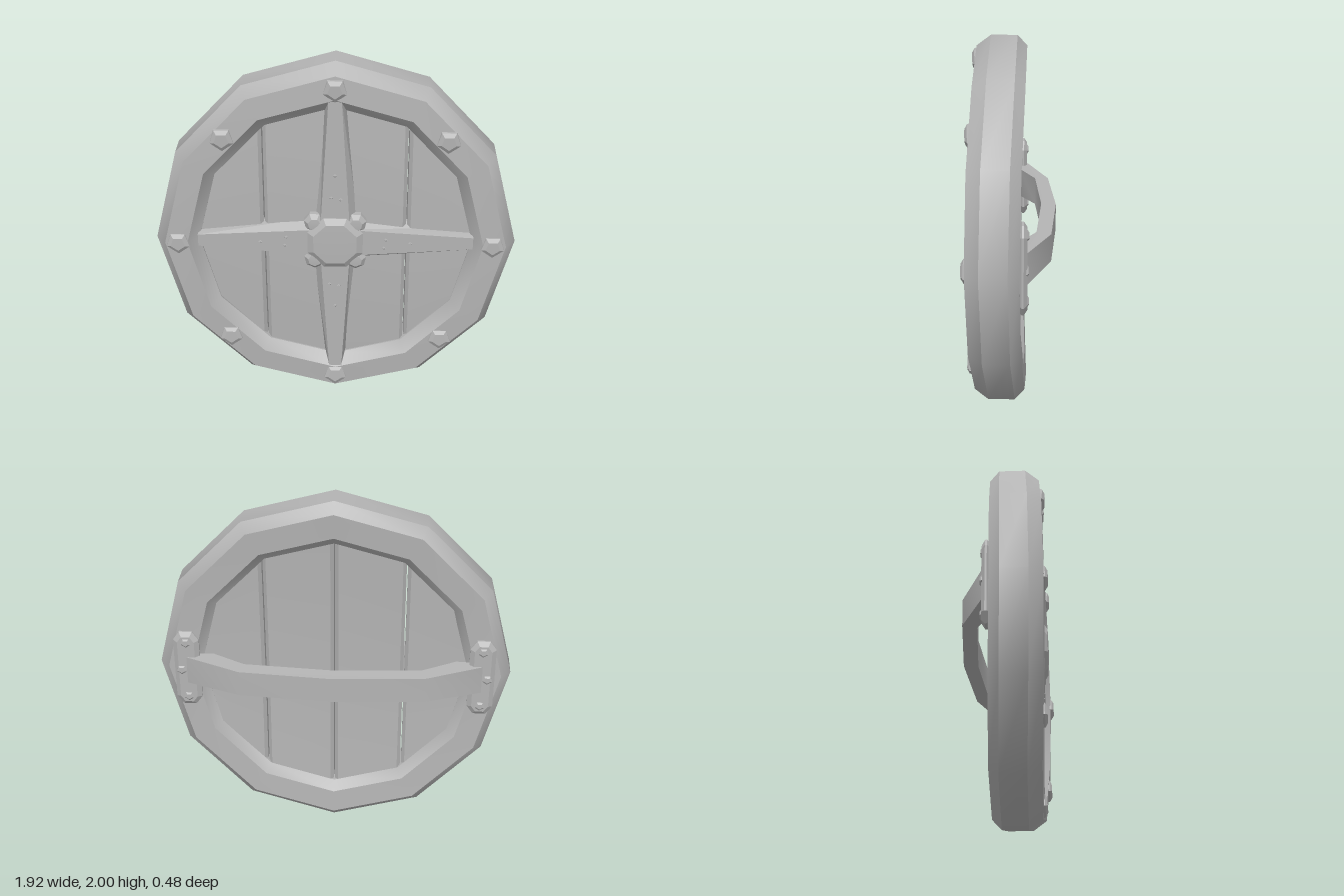
import * as THREE from 'three';
import { toCreasedNormals } from 'three/addons/utils/BufferGeometryUtils.js';

const SX = 0.96; // the shield is slightly narrower than tall
const iron = new THREE.MeshStandardMaterial({ color: 0xb4b4b4 });
iron.name = 'plain grey';

// the whole shield is bowed: z falls away towards top and bottom
const bow = (y) => -0.04 * y * y;

// moves every vertex by a rule, then recomputes normals with sharp edges
function reshape(geo, rule, crease = 0.6) {
  const p = geo.attributes.position;
  const v = new THREE.Vector3();
  for (let i = 0; i < p.count; i++) {
    v.fromBufferAttribute(p, i);
    rule(v);
    p.setXYZ(i, v.x, v.y, v.z);
  }
  return toCreasedNormals(geo, crease);
}

function add(parent, name, geo, x = 0, y = 0, z = 0) {
  const mesh = new THREE.Mesh(geo, iron);
  mesh.name = name;
  mesh.position.set(x, y, z);
  parent.add(mesh);
  return mesh;
}

const shapeOf = (pts) => new THREE.Shape(pts.map(([x, y]) => new THREE.Vector2(x, y)));

// faceted disc turned around +z from a [radius, height] profile
function discGeometry(profile, sides) {
  const pts = profile.map(([a, b]) => new THREE.Vector2(a, b));
  const geo = new THREE.LatheGeometry(pts, sides).rotateX(Math.PI / 2);
  return toCreasedNormals(geo, 0.3);
}
const studGeometry = (r, h, sides) => discGeometry([[r, 0], [r * 0.95, h * 0.45], [r * 0.6, h], [0, h]], sides);

// twelve-sided rim
function rimGeometry() {
  const profile = [
    [1, 0.01], [1, 0.15], [0.945, 0.22], [0.82, 0.22], [0.76, 0.16],
    [0.76, 0.0], [0.81, -0.045], [0.945, -0.045], [1, 0.01],
  ].map(([r, z]) => new THREE.Vector2(r, z));
  const geo = new THREE.LatheGeometry(profile, 12).rotateX(Math.PI / 2);
  return reshape(geo, (v) => { v.x *= SX; v.z += bow(v.y); });
}

// vertical plank with chamfered long edges, ends hidden inside the rim
function plankGeometry(x0, x1) {
  const c = 0.018, back = 0.0, front = 0.152;
  const section = shapeOf([
    [x0 + c, back], [x1 - c, back], [x1, back + c], [x1, front - c],
    [x1 - c, front], [x0 + c, front], [x0, front - c], [x0, back + c],
  ]);
  const geo = new THREE.ExtrudeGeometry(section, { depth: 1, steps: 6, bevelEnabled: false });
  return reshape(geo, (v) => {
    const half = 0.79 * Math.sqrt(Math.max(0, 1 - (v.x / 0.8) ** 2));
    const y = (1 - 2 * v.z) * half;
    v.set(v.x, y, v.y + bow(y));
  }, 0.3);
}

// tapering brace arm running along +y from the centre
function armGeometry(length) {
  const section = shapeOf([[-1, 0.1], [1, 0.1], [1, 0.125], [0.62, 0.2], [-0.62, 0.2], [-1, 0.125]]);
  const geo = new THREE.ExtrudeGeometry(section, { depth: 1, bevelEnabled: false });
  return reshape(geo, (v) => {
    const t = 1 - v.z;
    const w = THREE.MathUtils.lerp(0.135, 0.055, t);
    v.set(v.x * w, t * length, v.y - 0.01 * t);
  }, 0.3);
}

export function createModel() {
  const root = new THREE.Group();
  root.name = 'roundShield';
  const shield = new THREE.Group();
  shield.name = 'shieldBody';
  shield.position.y = 1;
  root.add(shield);

  add(shield, 'rim', rimGeometry());

  // four planks
  [[-0.75, -0.383], [-0.377, -0.003], [0.003, 0.377], [0.383, 0.75]].forEach(([a, b]) =>
    add(shield, 'plank', plankGeometry(a, b)));

  // cross brace
  for (let i = 0; i < 4; i++) {
    const arm = add(shield, 'braceArm', armGeometry(i % 2 ? 0.735 : 0.81));
    arm.rotation.z = (i * Math.PI) / 2;
    // small nicks along the arm
    for (const [x, y] of [[0.0, 0.4], [-0.02, 0.27], [0.03, 0.26]]) {
      add(arm, 'armNick', studGeometry(0.01, 0.006, 4), x, y, 0.195);
    }
  }

  // central boss with a low lump at each corner
  const boss = add(shield, 'boss', discGeometry([[0.16, 0.1], [0.16, 0.2], [0.125, 0.222], [0, 0.226]], 8));
  boss.rotation.z = Math.PI / 8;
  for (const sx of [-1, 1]) for (const sy of [-1, 1]) {
    add(shield, 'bossLump', discGeometry([[0.058, 0.1], [0.058, 0.18], [0.035, 0.204], [0, 0.207]], 7), sx * 0.11, sy * 0.11);
  }

  // eight low studs around the rim
  for (let i = 0; i < 8; i++) {
    const a = (i * Math.PI) / 4;
    const r = i % 2 ? 0.853 : 0.872;
    const y = r * Math.cos(a);
    const stud = add(shield, 'rimStud', studGeometry(0.067, 0.024, 5), r * SX * Math.sin(a), y, 0.214 + bow(y));
    stud.rotation.x = 0.07 * y;
  }

  // bowed arm strap at the back, a little taller at its ends
  const strap = shapeOf([
    [-0.84, -0.05], [-0.8, -0.085], [-0.5, -0.205], [0, -0.24], [0.5, -0.205], [0.8, -0.085], [0.84, -0.05],
    [0.66, -0.04], [0.48, -0.13], [0, -0.16], [-0.48, -0.13], [-0.66, -0.04],
  ]);
  const strapGeo = new THREE.ExtrudeGeometry(strap, { depth: 0.145, bevelEnabled: false })
    .translate(0, 0, -0.0725).rotateX(Math.PI / 2);
  add(shield, 'armStrap', reshape(strapGeo, (v) => { v.y *= 1 + 0.9 * Math.max(0, v.z + 0.22); }));

  // mounting plates with bolts
  const plate = shapeOf([
    [-0.035, -0.23], [0.035, -0.23], [0.07, -0.18], [0.07, 0.18],
    [0.035, 0.23], [-0.035, 0.23], [-0.07, 0.18], [-0.07, -0.18],
  ]);
  for (const s of [-1, 1]) {
    const plateGeo = new THREE.ExtrudeGeometry(plate, {
      depth: 0.01, bevelThickness: 0.018, bevelSize: 0.024, bevelOffset: -0.024, bevelSegments: 1,
    });
    add(shield, 'strapPlate', toCreasedNormals(plateGeo, 0.3), s * 0.8, 0, -0.066);
    for (const y of [-0.17, 0, 0.17]) {
      const bolt = add(shield, 'plateBolt', studGeometry(0.03, 0.014, 5), s * (y ? 0.8 : 0.83), y, -0.078);
      bolt.rotation.y = Math.PI;
    }
  }
  return root;
}
